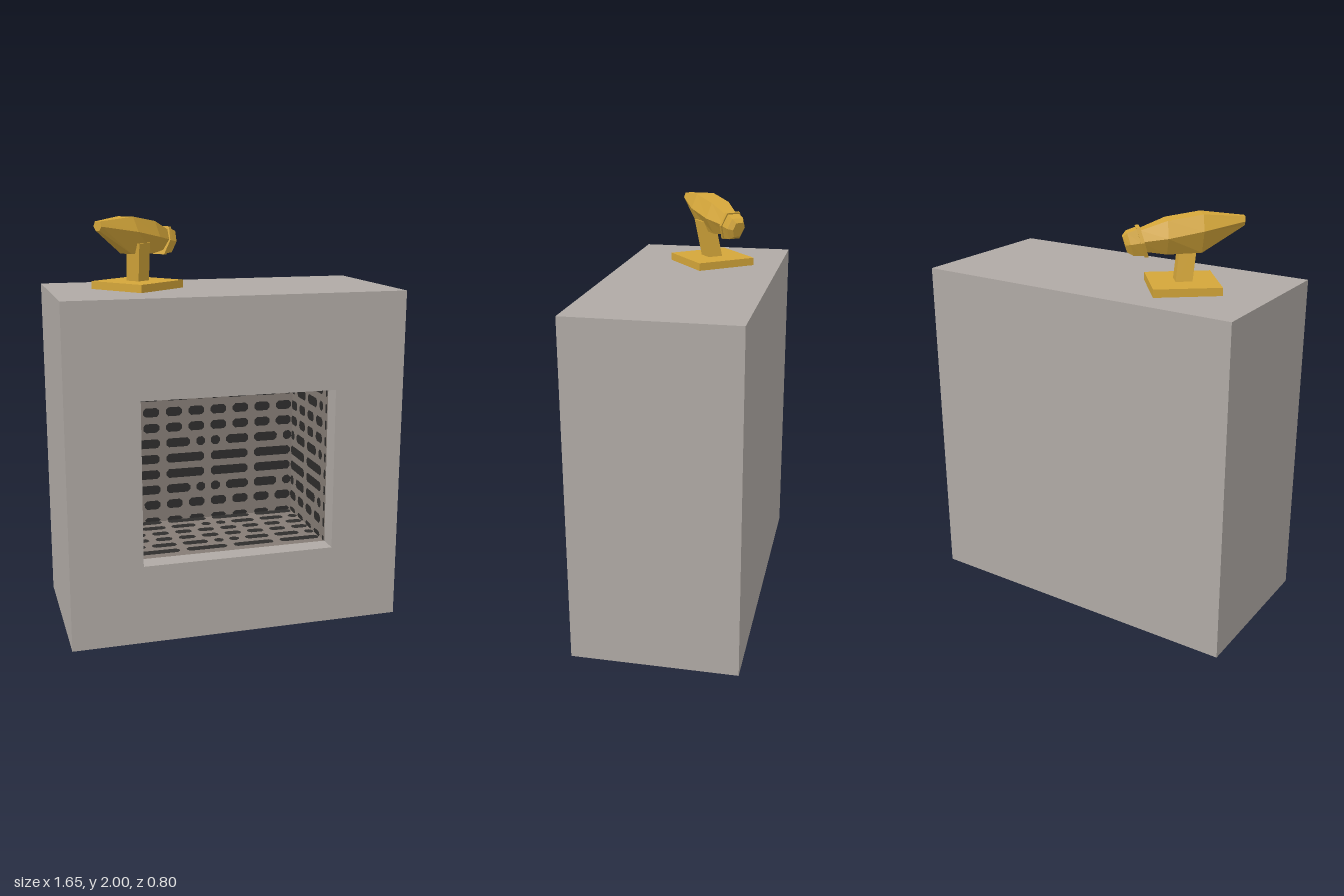
import * as THREE from 'three';

const stone = new THREE.MeshStandardMaterial({ color: 0xb0aaa5 });
stone.name = 'stone';
const mortar = new THREE.MeshStandardMaterial({ color: 0x857c75 });
mortar.name = 'mortar';
const soot = new THREE.MeshStandardMaterial({ color: 0x2e2d2c });
soot.name = 'darkBrick';
const gold = new THREE.MeshStandardMaterial({ color: 0xd4a63a, flatShading: true });
gold.name = 'gold';

function part(name, geometry, material, x = 0, y = 0, z = 0) {
  const mesh = new THREE.Mesh(geometry, material);
  mesh.name = name;
  mesh.position.set(x, y, z);
  return mesh;
}

function rect(Type, x0, y0, x1, y1) {
  return new Type().moveTo(x0, y0).lineTo(x1, y0).lineTo(x1, y1).lineTo(x0, y1).closePath();
}

// Brick courses: start and end of each brick within one repeat
const REPEAT = 0.484;
const LONG = [[0, 0.205], [0.242, 0.447]];
const SHORT = [[0, 0.085], [0.121, 0.206], [0.242, 0.327], [0.363, 0.448]];
const MIXED = [[0, 0.05], [0.085, 0.208], [0.242, 0.37], [0.405, 0.452]];
const COURSES = [LONG, MIXED, SHORT, SHORT, MIXED, LONG, LONG, MIXED, SHORT, SHORT];

// Brick outline with chamfered ends
function brick(x0, x1, y, h) {
  const c = Math.min(0.014, (x1 - x0) / 3);
  const s = new THREE.Shape();
  s.moveTo(x0 + c, y - h).lineTo(x1 - c, y - h).lineTo(x1, y - h + c).lineTo(x1, y + h - c);
  s.lineTo(x1 - c, y + h).lineTo(x0 + c, y + h).lineTo(x0, y + h - c).lineTo(x0, y - h + c);
  return s.closePath();
}

// Flat lining panel with rows of dark bricks, facing +z
function lining(name, width, height) {
  const group = new THREE.Group();
  group.name = name;
  const bricks = [];
  COURSES.forEach((course, i) => {
    const y = height / 2 - 0.03 - i * 0.084;
    if (y < -height / 2 + 0.01) return;
    const h = Math.min(0.024, y + height / 2);
    for (let x = 0; x < width; x += REPEAT) {
      for (const [a, b] of course) {
        const x0 = x + a + 0.005;
        const x1 = Math.min(x + b + 0.005, width);
        if (x1 - x0 > 0.01) bricks.push(brick(x0 - width / 2, x1 - width / 2, y, h));
      }
    }
  });
  group.add(part(name + 'Mortar', new THREE.PlaneGeometry(width, height), mortar));
  group.add(part(name + 'Bricks', new THREE.ShapeGeometry(bricks), soot, 0, 0, 0.004));
  return group;
}

// Six-sided loft along x; section = [x, halfWidth, yBottom, yMiddle, yTop]
function loft(sections, topRatio, bottomRatio, shear = 0) {
  const rings = sections.map(([x, w, b, m, t]) =>
    [[t, -topRatio], [t, topRatio], [m, 1], [b, bottomRatio], [b, -bottomRatio], [m, -1]]
      .map(([y, k]) => [x + (y - m) * shear, y, k * w]));
  const pos = [];
  const tri = (...corners) => corners.forEach((p) => pos.push(...p));
  for (let r = 0; r < rings.length - 1; r++) {
    const a = rings[r], b = rings[r + 1];
    for (let i = 0; i < 6; i++) {
      const j = (i + 1) % 6;
      tri(a[i], a[j], b[j]);
      tri(a[i], b[j], b[i]);
    }
  }
  const first = rings[0], last = rings[rings.length - 1];
  for (let i = 1; i < 5; i++) {
    tri(first[0], first[i + 1], first[i]);
    tri(last[0], last[i], last[i + 1]);
  }
  const g = new THREE.BufferGeometry();
  g.setAttribute('position', new THREE.Float32BufferAttribute(pos, 3));
  g.computeVertexNormals();
  return g;
}

function createFireplace() {
  const group = new THREE.Group();
  group.name = 'fireplace';

  // Surround with opening, and solid back
  const face = rect(THREE.Shape, -0.825, 0, 0.825, 1.655);
  face.holes.push(rect(THREE.Path, -0.475, 0.39, 0.475, 1.19));
  const surround = new THREE.ExtrudeGeometry(face, { depth: 0.6, bevelEnabled: false });
  group.add(part('surround', surround, stone, 0, 0, -0.2));
  group.add(part('backSlab', new THREE.BoxGeometry(1.65, 1.655, 0.2), stone, 0, 0.8275, -0.3));

  // Brick lining, set back from the front lip
  const q = Math.PI / 2;
  [
    ['backLining', 0.95, 0.8, [0, 0.79, -0.197], [0, 0, 0]],
    ['rightLining', 0.51, 0.8, [-0.472, 0.79, 0.055], [0, q, 0]],
    ['leftLining', 0.51, 0.8, [0.472, 0.79, 0.055], [0, -q, 0]],
    ['floorLining', 0.95, 0.51, [0, 0.393, 0.055], [-q, 0, 0]],
    ['ceilingLining', 0.95, 0.51, [0, 1.187, 0.055], [q, 0, 0]],
  ].forEach(([name, w, h, p, r]) => {
    const panel = lining(name, w, h);
    panel.position.set(...p);
    panel.rotation.set(...r);
    group.add(panel);
  });
  return group;
}

function createOrnament() {
  const group = new THREE.Group();
  group.name = 'ornament';
  group.position.set(-0.393, 1.655, -0.045);
  group.rotation.y = 0.672;

  group.add(part('basePlate', new THREE.BoxGeometry(0.315, 0.038, 0.315), gold, 0, 0.019, 0));

  // Leaning stem
  const stem = new THREE.BoxGeometry(0.078, 0.19, 0.078).translate(0, 0.125, 0);
  const p = stem.attributes.position;
  for (let i = 0; i < p.count; i++) {
    if (p.getY(i) > 0.1) p.setXYZ(i, p.getX(i) - 0.025, p.getY(i), p.getZ(i) + 0.031);
  }
  stem.computeVertexNormals();
  group.add(part('stem', stem, gold));

  // Faceted body, narrow at the tail
  group.add(part('body', loft([
    [-0.275, 0.025, 0.285, 0.305, 0.328],
    [-0.08, 0.08, 0.17, 0.275, 0.345],
    [0.08, 0.08, 0.165, 0.245, 0.32],
    [0.2, 0.048, 0.18, 0.225, 0.275],
  ], 0.6, 0.45), gold));

  // Collar band and tapered head
  group.add(part('collar', loft([
    [0.183, 0.06, 0.155, 0.225, 0.29],
    [0.2, 0.06, 0.153, 0.222, 0.287],
  ], 0.6, 0.6, 0.3), gold));
  group.add(part('head', loft([
    [0.2, 0.053, 0.16, 0.222, 0.28],
    [0.245, 0.05, 0.16, 0.215, 0.265],
    [0.268, 0.03, 0.175, 0.21, 0.245],
  ], 0.6, 0.6, 0.3), gold));
  return group;
}

export function createModel() {
  const model = new THREE.Group();
  model.name = 'fireplaceWithOrnament';
  model.add(createFireplace(), createOrnament());
  return model;
}
